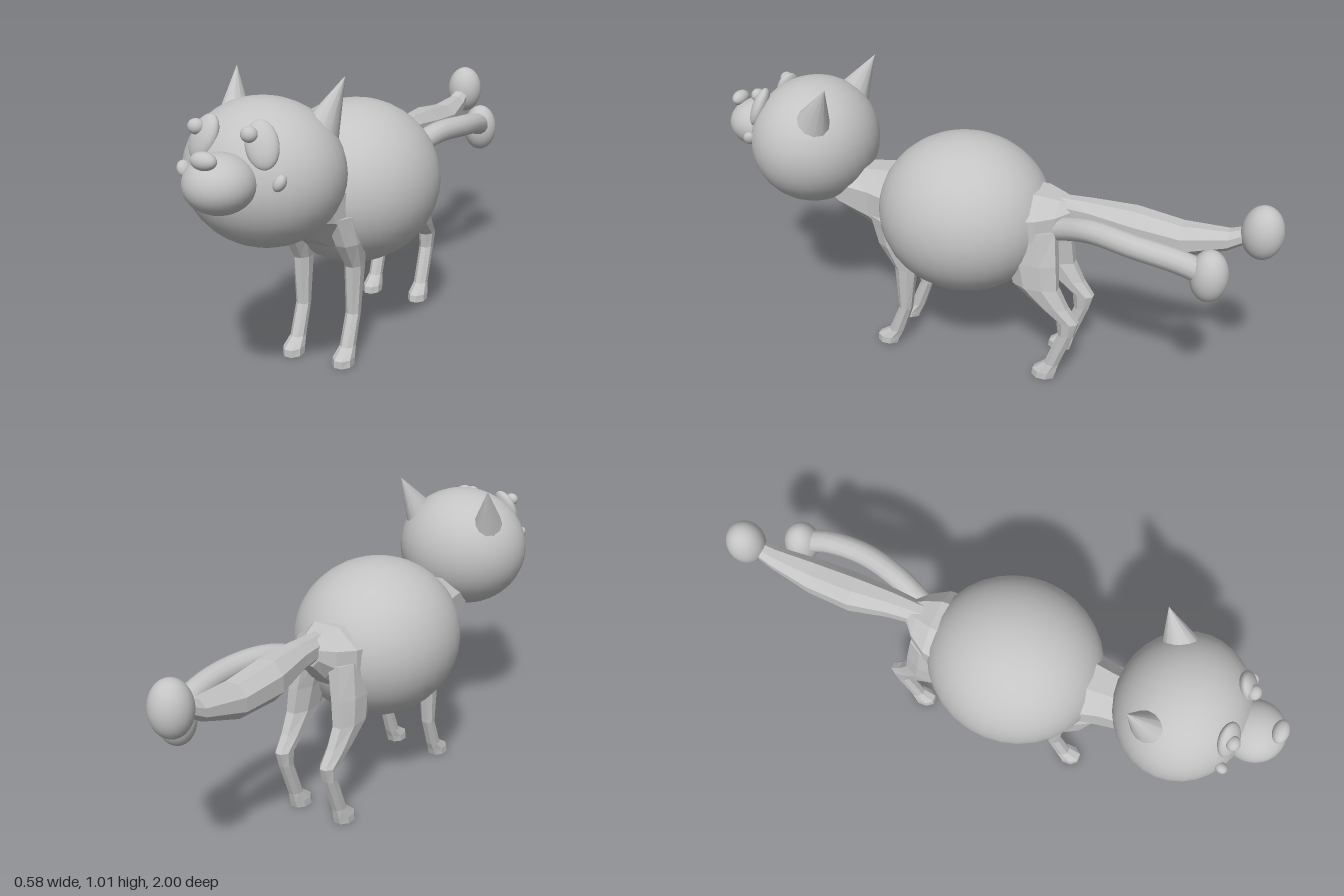
import * as THREE from 'three';

const paint = (name, flat) => {
  const m = new THREE.MeshStandardMaterial({ color: 0xc4c4c4, flatShading: flat });
  m.name = name;
  return m;
};

export function createModel() {
  const group = new THREE.Group();
  const smooth = paint('smooth grey', false);
  const faceted = paint('faceted grey', true);

  const add = (name, geometry, material) => {
    const mesh = new THREE.Mesh(geometry, material);
    mesh.name = name;
    group.add(mesh);
    return mesh;
  };

  const ball = (name, pos, radii, rot = [0, 0, 0]) => {
    const mesh = add(name, new THREE.SphereGeometry(1, 32, 20), smooth);
    mesh.position.set(...pos);
    mesh.scale.set(...radii);
    mesh.rotation.set(...rot);
  };

  // Lofts rings [x, y, z, halfWidth, halfDepth], ordered upwards ('y') or forwards ('z')
  const loft = (name, axis, rings, sides = 8) => {
    const pos = [], index = [];
    for (const [x, y, z, w, d] of rings) {
      for (let i = 0; i < sides; i++) {
        const a = ((i + 0.5) / sides) * Math.PI * 2;
        const u = Math.cos(a) * w * 1.06, v = Math.sin(a) * d * 1.06;
        if (axis === 'y') pos.push(x + u, y, z - v);
        else pos.push(x + u, y + v, z);
      }
    }
    const last = (rings.length - 1) * sides;
    for (let r = 0; r < last; r += sides) {
      for (let i = 0; i < sides; i++) {
        const j = (i + 1) % sides;
        index.push(r + i, r + j, r + sides + j, r + i, r + sides + j, r + sides + i);
      }
    }
    for (let i = 1; i < sides - 1; i++) {
      index.push(0, i + 1, i, last, last + i, last + i + 1);
    }
    const g = new THREE.BufferGeometry();
    g.setAttribute('position', new THREE.Float32BufferAttribute(pos, 3));
    g.setIndex(index);
    g.computeVertexNormals();
    add(name, g, faceted);
  };

  // Round body, head and snout
  ball('body', [0, 0.555, 0.083], [0.29, 0.28, 0.308]);
  ball('head', [0, 0.738, 0.662], [0.248, 0.223, 0.223]);
  ball('muzzle', [0, 0.765, 0.895], [0.104, 0.086, 0.105]);
  ball('nose', [0, 0.847, 0.965], [0.04, 0.026, 0.026]);

  // The pupils both look to the same side
  ball('rightPupil', [-0.112, 0.9, 0.835], [0.025, 0.023, 0.022]);
  ball('leftPupil', [0.068, 0.9, 0.845], [0.025, 0.023, 0.022]);

  // Neck and rump
  loft('neck', 'z', [
    [0, 0.51, 0.2, 0.12, 0.15],
    [0, 0.54, 0.34, 0.12, 0.145],
    [0, 0.56, 0.42, 0.1, 0.115],
    [0, 0.58, 0.54, 0.09, 0.08],
    [0, 0.64, 0.62, 0.08, 0.07],
  ]);
  loft('rump', 'z', [
    [0, 0.62, -0.31, 0.04, 0.045],
    [0, 0.6, -0.27, 0.085, 0.075],
    [0, 0.58, -0.21, 0.125, 0.11],
    [0, 0.56, -0.1, 0.14, 0.13],
  ]);

  for (const s of [1, -1]) {
    const side = s > 0 ? 'left' : 'right';
    ball(side + 'EyePatch', [s * 0.095, 0.868, 0.823], [0.048, 0.071, 0.027],
      [-0.4, s * 0.3, s * 0.35]);
    ball(side + 'Cheek', [s * 0.157, 0.772, 0.838], [0.018, 0.026, 0.022],
      [0, s * 0.4, -s * 0.5]);

    // Ear cone leaning back and outwards
    const base = new THREE.Vector3(s * 0.145, 0.855, 0.587);
    const tip = new THREE.Vector3(s * 0.186, 1.01, 0.505);
    const dir = tip.clone().sub(base);
    const ear = add(side + 'Ear', new THREE.ConeGeometry(1, 1, 12), smooth);
    ear.position.copy(base).addScaledVector(dir, 0.5);
    ear.scale.set(0.056, dir.length(), 0.068);
    ear.quaternion.setFromUnitVectors(new THREE.Vector3(0, 1, 0), dir.normalize());

    // Legs, from the paw up
    loft(side + 'FrontLeg', 'y', [
      [s * 0.095, 0, 0.36, 0.034, 0.04],
      [s * 0.095, 0.025, 0.355, 0.033, 0.044],
      [s * 0.095, 0.055, 0.325, 0.025, 0.028],
      [s * 0.095, 0.16, 0.285, 0.024, 0.024],
      [s * 0.097, 0.33, 0.277, 0.031, 0.04],
      [s * 0.095, 0.42, 0.3, 0.042, 0.075],
      [s * 0.08, 0.52, 0.32, 0.05, 0.09],
    ]);
    loft(side + 'HindLeg', 'y', [
      [s * 0.095, 0, -0.25, 0.033, 0.042],
      [s * 0.095, 0.025, -0.255, 0.032, 0.044],
      [s * 0.095, 0.06, -0.28, 0.024, 0.027],
      [s * 0.095, 0.19, -0.328, 0.024, 0.027],
      [s * 0.095, 0.245, -0.332, 0.028, 0.038],
      [s * 0.097, 0.3, -0.275, 0.034, 0.055],
      [s * 0.098, 0.37, -0.215, 0.04, 0.08],
      [s * 0.09, 0.46, -0.2, 0.045, 0.088],
      [s * 0.07, 0.58, -0.19, 0.05, 0.085],
    ]);
  }

  // Bushy middle tail
  loft('middleTail', 'z', [
    [0, 0.665, -0.91, 0.025, 0.025],
    [0, 0.625, -0.83, 0.038, 0.035],
    [0, 0.597, -0.68, 0.059, 0.058],
    [-0.005, 0.608, -0.52, 0.064, 0.068],
    [0, 0.63, -0.38, 0.048, 0.05],
    [0, 0.635, -0.25, 0.035, 0.042],
    [0, 0.63, -0.15, 0.035, 0.042],
  ]);
  ball('middleTailTip', [0, 0.67, -0.932], [0.068, 0.092, 0.068]);

  // Smooth second tail curling to the left
  const path = new THREE.CatmullRomCurve3([
    [0.03, 0.55, -0.2], [0.058, 0.585, -0.29], [0.1, 0.617, -0.4],
    [0.138, 0.613, -0.55], [0.14, 0.59, -0.7], [0.122, 0.55, -0.8],
  ].map((p) => new THREE.Vector3(...p)));
  add('sideTail', new THREE.TubeGeometry(path, 24, 0.04, 12), smooth);
  ball('sideTailTip', [0.123, 0.55, -0.797], [0.064, 0.09, 0.062]);

  return group;
}
